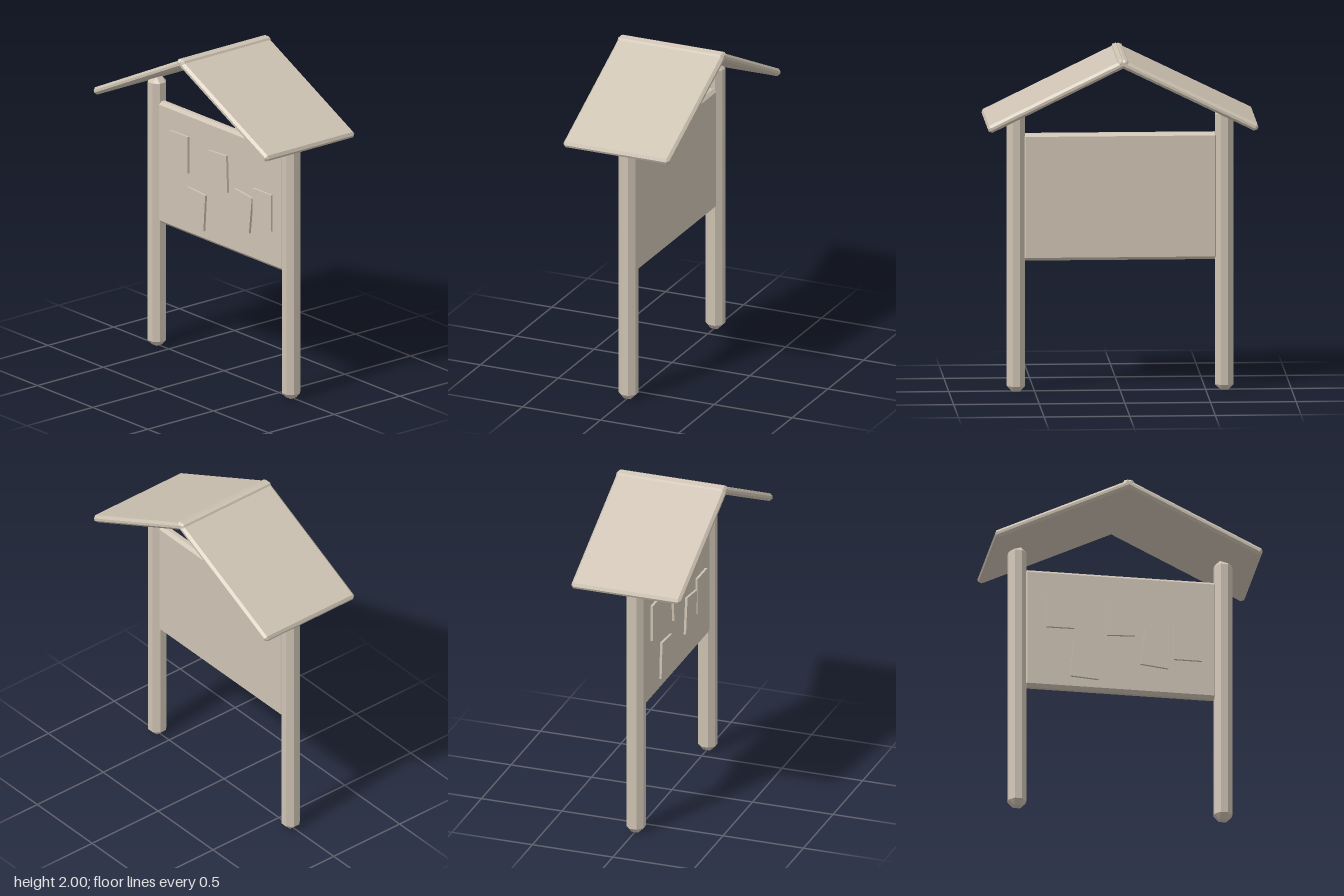
import * as THREE from 'three';
import { ConvexGeometry } from 'three/addons/geometries/ConvexGeometry.js';

// Box with every edge and corner cut off by c
function chamferBox(w, h, d, c) {
  const points = [];
  for (const sx of [-1, 1]) for (const sy of [-1, 1]) for (const sz of [-1, 1]) {
    const x = w / 2, y = h / 2, z = d / 2;
    points.push(
      new THREE.Vector3(sx * x, sy * (y - c), sz * (z - c)),
      new THREE.Vector3(sx * (x - c), sy * y, sz * (z - c)),
      new THREE.Vector3(sx * (x - c), sy * (y - c), sz * z)
    );
  }
  return new ConvexGeometry(points);
}

export function createModel() {
  const group = new THREE.Group();
  const wood = new THREE.MeshStandardMaterial({ color: 0xcdc2b2, flatShading: true });
  wood.name = 'paleWood';

  const add = (name, geometry, x, y, z, turn = 0) => {
    const mesh = new THREE.Mesh(geometry, wood);
    mesh.name = name;
    mesh.position.set(x, y, z);
    mesh.rotation.z = turn;
    group.add(mesh);
  };

  const slope = THREE.MathUtils.degToRad(26);
  const postGeometry = chamferBox(0.106, 1.66, 0.106, 0.032);
  const roofGeometry = chamferBox(0.909, 0.045, 0.68, 0.015);

  // Posts and roof panels, mirrored; the panels cross at the ridge
  for (const [side, s] of [['left', 1], ['right', -1]]) {
    add(side + 'Post', postGeometry, s * 0.608, 0.83, 0);
    add(side + 'RoofPanel', roofGeometry, s * 0.3785, 1.787, 0, -s * slope);
  }

  // Notice board between the posts
  add('board', chamferBox(1.14, 0.75, 0.06, 0.018), 0, 1.145, 0);

  // Pinned notices: x, y, tilt in degrees
  const noticeGeometry = new THREE.BoxGeometry(0.165, 0.225, 0.02);
  const notices = [
    [-0.36, 1.265, 0.5], [-0.005, 1.24, 2.5], [0.21, 1.055, -6.5],
    [0.395, 1.11, 0], [-0.208, 0.953, -4]
  ];
  notices.forEach(([x, y, tilt], i) =>
    add('notice' + (i + 1), noticeGeometry, x, y, 0.035, THREE.MathUtils.degToRad(tilt)));

  return group;
}
